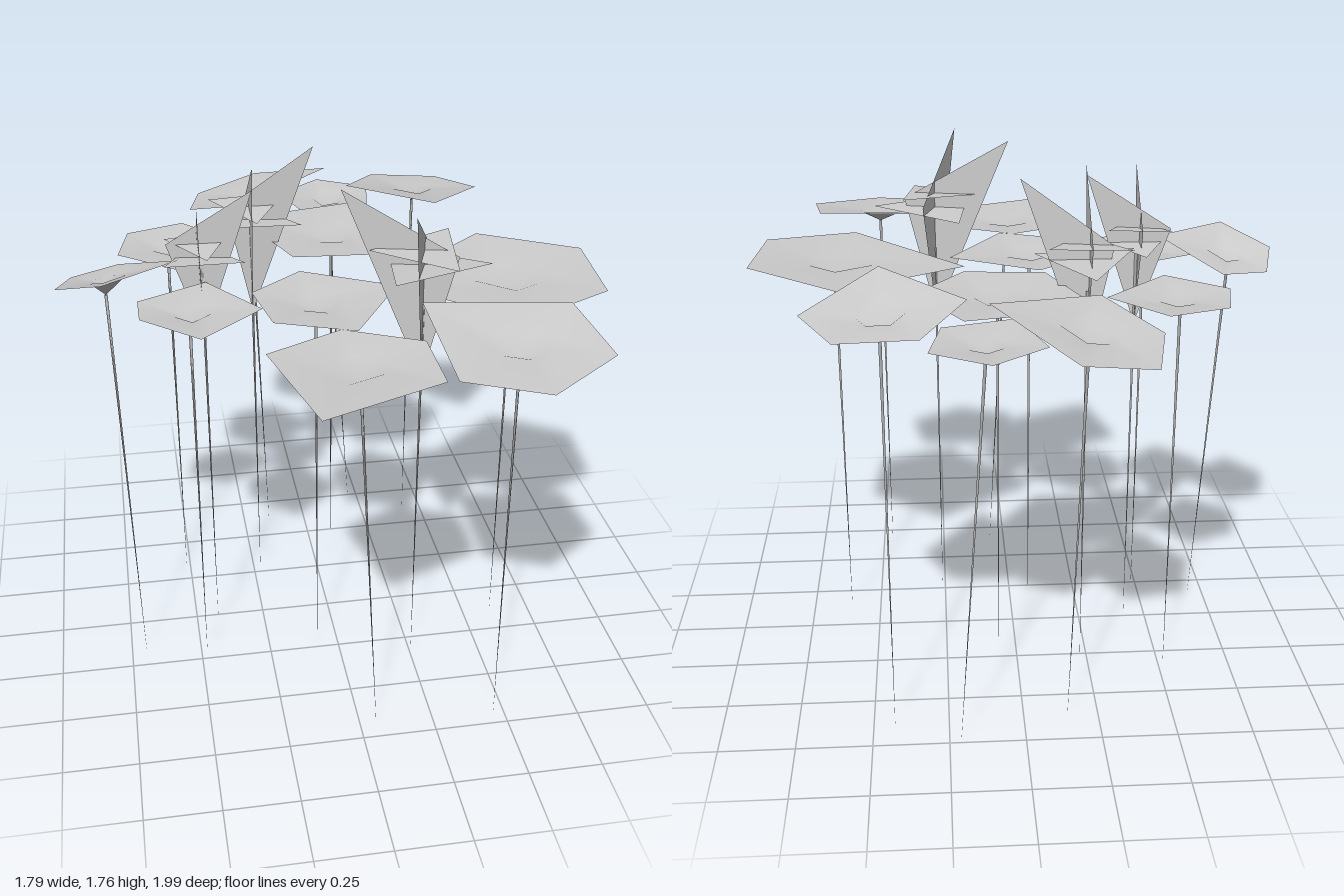
import * as THREE from 'three';

const grey = new THREE.MeshStandardMaterial({ color: 0xcccccc, side: THREE.DoubleSide });
grey.name = 'plain grey';

// Five-cornered leaves: outline x, z clockwise from above; optional rim height, slope in x and z,
// shift of the funnel from the middle, stem lean
const leaves = [
  { rim: [-0.13, -0.995, 0.11, -0.73, -0.24, -0.51, -0.41, -0.68, -0.36, -0.92], y: 1.415, slope: [0.24, 0.15], shift: [0.03, 0.02], lean: [0.03, 0.12] },
  { rim: [0.11, -0.93, 0.29, -0.82, 0.25, -0.6, 0.02, -0.53, -0.06, -0.79], lean: [0.09, 0] },
  { rim: [0.31, -0.83, 0.56, -0.81, 0.67, -0.61, 0.44, -0.31, 0.17, -0.6], y: 1.435, slope: [-0.07, 0.14] },
  { rim: [0.18, -0.6, 0.33, -0.32, 0.17, -0.09, -0.1, -0.11, -0.24, -0.51], y: 1.39 },
  { rim: [-0.45, -0.54, -0.28, -0.34, -0.5, -0.11, -0.69, -0.27, -0.65, -0.47] },
  { rim: [-0.69, -0.16, -0.5, 0.04, -0.75, 0.21, -0.9, 0.08, -0.85, -0.1], y: 1.42, slope: [0.17, 0.25], lean: [0.04, 0.16] },
  { rim: [-0.64, 0.27, -0.64, 0.13, -0.41, 0.01, -0.25, 0.25, -0.46, 0.44] },
  { rim: [-0.09, -0.03, 0.21, 0.14, 0.02, 0.46, -0.23, 0.36, -0.27, 0.12] },
  { rim: [0.58, -0.25, 0.89, -0.02, 0.86, 0.34, 0.55, 0.48, 0.16, 0.08], y: 1.38, slope: [0.05, 0] },
  { rim: [-0.03, 0.44, 0.21, 0.56, 0.21, 0.83, -0.18, 0.995, -0.28, 0.57], lean: [0.07, 0] },
  { rim: [0.22, 0.45, 0.68, 0.51, 0.72, 0.81, 0.48, 0.98, 0.23, 0.88], y: 1.42, slope: [0, -0.12], shift: [0, -0.035] },
];

// Flowers: lowest point, two upright petals as [tip, shoulder], radius and turn of the flat star
const flowers = [
  { base: [-0.42, 1.175, 0], radius: 0.155, turn: -0.08,
    upright: [[[-0.25, 1.69, 0.02], [-0.535, 1.51, -0.01]], [[-0.44, 1.69, 0.18], [-0.43, 1.51, -0.08]]] },
  { base: [-0.225, 1.13, -0.275], radius: 0.19, turn: -0.03,
    upright: [[[-0.01, 1.74, -0.24], [-0.31, 1.525, -0.27]], [[-0.24, 1.74, -0.05], [-0.23, 1.54, -0.37]]] },
  { base: [0.26, 1.12, 0.306], radius: 0.215, turn: -0.4,
    upright: [[[0, 1.76, 0.25], [0.365, 1.545, 0.33]], [[0.18, 1.755, 0.515], [0.3, 1.54, 0.19]]] },
];

function surface(name, points, index) {
  const geometry = new THREE.BufferGeometry();
  geometry.setAttribute('position', new THREE.Float32BufferAttribute(points.flat(), 3));
  geometry.setIndex(index);
  geometry.computeVertexNormals();
  const mesh = new THREE.Mesh(geometry, grey);
  mesh.name = name;
  return mesh;
}

// Thin stem narrowing to a point at the ground
function stem(name, [x, y, z], [leanX, leanZ]) {
  const top = new THREE.Vector3(x, y, z), foot = new THREE.Vector3(x + leanX, 0, z + leanZ);
  const axis = top.clone().sub(foot);
  const mesh = new THREE.Mesh(new THREE.CylinderGeometry(0.006, 0.0002, axis.length(), 3, 1, true), grey);
  mesh.position.copy(top).add(foot).multiplyScalar(0.5);
  mesh.quaternion.setFromUnitVectors(new THREE.Vector3(0, 1, 0), axis.normalize());
  mesh.name = name;
  return mesh;
}

// Leaf: sloping blade, slightly dished, with a small funnel above its stem
function leaf({ rim, y = 1.372, slope = [0, 0], shift = [0, 0], lean = [0, 0] }) {
  const n = rim.length / 2;
  let [cx, cz] = shift;
  for (let i = 0; i < n; i++) {
    cx += rim[2 * i] / n;
    cz += rim[2 * i + 1] / n;
  }
  const ring = (scale, lift) => Array.from({ length: n }, (_, i) => {
    const dx = (rim[2 * i] - cx) * scale, dz = (rim[2 * i + 1] - cz) * scale;
    return [cx + dx, y + lift + slope[0] * dx + slope[1] * dz, cz + dz];
  });
  const centre = [cx, y - 0.038 - 0.08 * Math.hypot(...slope), cz];
  const index = [];
  for (let i = 0; i < n; i++) {
    const a = 1 + i, b = 1 + (i + 1) % n;
    index.push(0, b, a, a, b, b + n, a, b + n, a + n);
  }
  const group = new THREE.Group();
  group.name = 'leaf';
  group.add(surface('leafBlade', [centre, ...ring(0.3, -0.008), ...ring(1, 0.006)], index), stem('leafStem', centre, lean));
  return group;
}

// Flower: two upright petals crossing a six-pointed star, its smaller triangle on top
function flower({ base, upright, radius, turn }) {
  const [x, y, z] = base;
  const group = new THREE.Group();
  group.name = 'flower';
  for (const [tip, shoulder] of upright) group.add(surface('uprightPetal', [base, tip, shoulder], [0, 1, 2]));
  for (const layer of [0, 1]) {
    const r = radius * (1 - 0.17 * layer);
    const corners = [0, 1, 2].map((k) => {
      const angle = turn + layer * Math.PI + k * Math.PI * 2 / 3;
      return [x + Math.sin(angle) * r, y + 1.85 * radius + 0.05 * layer + (k - 1) * 0.01, z - Math.cos(angle) * r];
    });
    group.add(surface('flatPetals', corners, [0, 2, 1]));
  }
  group.add(stem('flowerStem', [x, y + 0.25, z], [0, 0]));
  return group;
}

export function createModel() {
  const model = new THREE.Group();
  model.name = 'waterPlants';
  model.add(...leaves.map(leaf), ...flowers.map(flower));
  return model;
}
